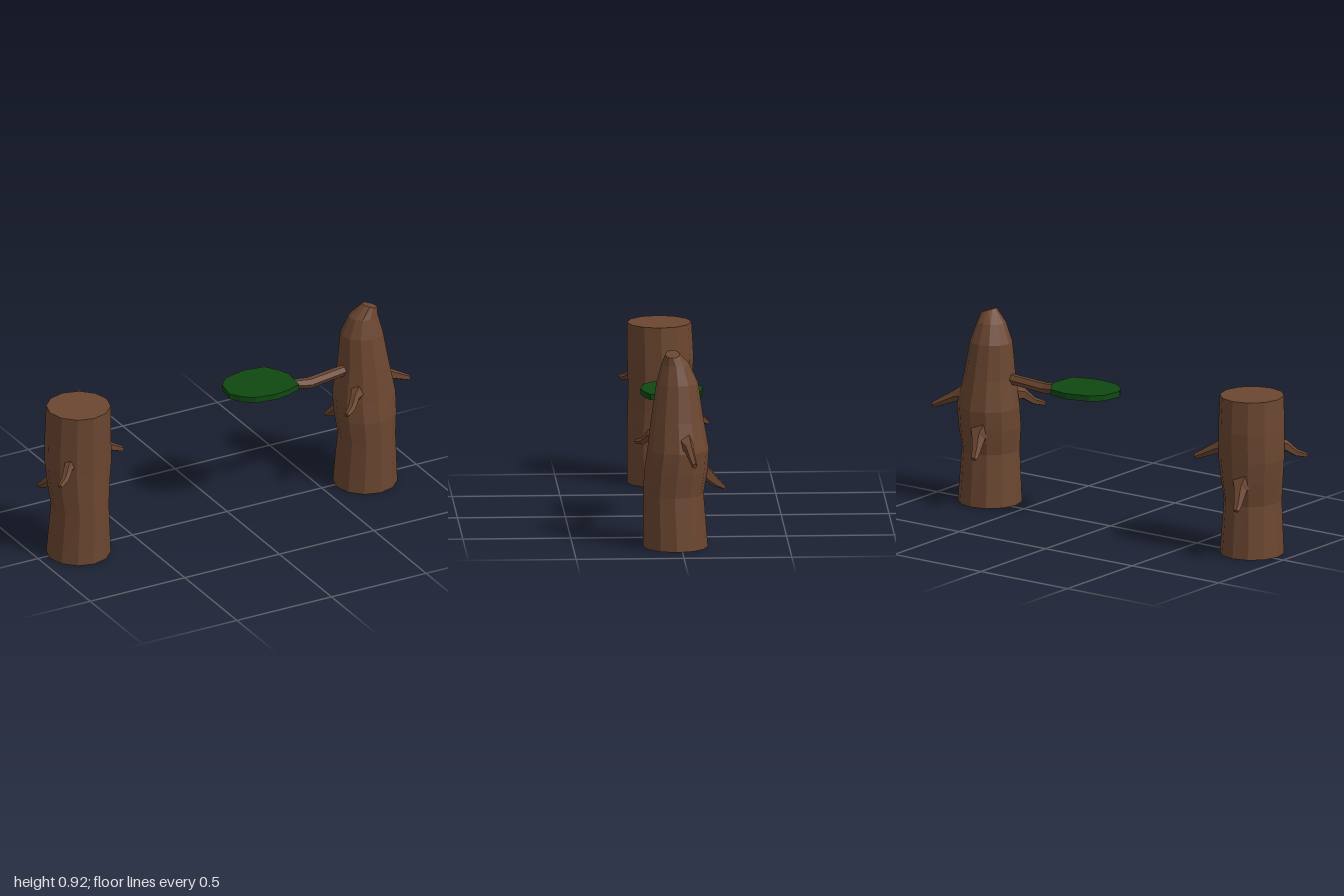
import * as THREE from 'three';

const V = (x, y, z) => new THREE.Vector3(x, y, z);

// Closed flat-faced solid through sections [x, y, z, radiusU, radiusV, tilt]
function loft(sections, sides, u, v) {
  const w = u.clone().cross(v);
  const rings = sections.map(([x, y, z, ru, rv = ru, tilt = 0]) => {
    const ring = [];
    for (let j = 0; j < sides; j++) {
      const a = (j / sides) * Math.PI * 2;
      ring.push(V(x, y, z)
        .addScaledVector(u, ru * Math.cos(a))
        .addScaledVector(v, rv * Math.sin(a))
        .addScaledVector(w, tilt * Math.cos(a)));
    }
    return ring;
  });
  const pos = [];
  const tri = (...pts) => pts.forEach((p) => pos.push(p.x, p.y, p.z));
  const first = rings[0], last = rings[rings.length - 1];
  for (let j = 0; j < sides; j++) {
    const k = (j + 1) % sides;
    for (let i = 0; i < rings.length - 1; i++) {
      tri(rings[i][j], rings[i][k], rings[i + 1][k]);
      tri(rings[i][j], rings[i + 1][k], rings[i + 1][j]);
    }
    if (j > 0 && j < sides - 1) {
      tri(first[0], first[k], first[j]);
      tri(last[0], last[j], last[k]);
    }
  }
  const g = new THREE.BufferGeometry();
  g.setAttribute('position', new THREE.Float32BufferAttribute(pos, 3));
  g.computeVertexNormals();
  return g;
}

// Branch whose rings face along its overall direction
function branch(sections, sides = 5) {
  const a = V(...sections[0]), b = V(...sections[sections.length - 1]);
  const w = b.sub(a).normalize();
  const u = V(0, 1, 0).cross(w).normalize();
  return loft(sections, sides, u, w.clone().cross(u));
}

export function createModel() {
  const model = new THREE.Group();
  model.name = 'treeStumps';
  const bark = new THREE.MeshStandardMaterial({ color: 0x6b4630 });
  bark.name = 'bark brown';
  const green = new THREE.MeshStandardMaterial({ color: 0x104912 });
  green.name = 'leaf green';

  const add = (parent, name, geometry, material = bark) => {
    const mesh = new THREE.Mesh(geometry, material);
    mesh.name = name;
    parent.add(mesh);
  };

  // Lower trunk sections shared by both trees
  const base = [
    [0, 0, 0.025, 0.15, 0.15],
    [0.002, 0.25, 0.035, 0.133, 0.14],
    [0, 0.36, 0.024, 0.145, 0.147],
  ];
  const stumpTop = [
    [0, 0.46, 0.02, 0.156, 0.15],
    [0, 0.6, 0.02, 0.154, 0.154],
    [0, 0.755, 0.025, 0.15, 0.15],
  ];
  const tallTop = [
    [0, 0.46, 0.013, 0.148, 0.143],
    [-0.005, 0.6, 0.017, 0.122, 0.122],
    [-0.014, 0.77, 0.017, 0.1, 0.097],
    [-0.01, 0.86, 0.025, 0.069, 0.065],
    [0.016, 0.91, 0.04, 0.036, 0.034, -0.012],
  ];

  // Trunk with its three short broken twigs
  const makeTree = (name, x, top) => {
    const tree = new THREE.Group();
    tree.name = name;
    tree.position.x = x;
    add(tree, 'trunk', loft([...base, ...top], 12, V(1, 0, 0), V(0, 0, -1)));
    add(tree, 'leftTwig', branch([
      [0.08, 0.51, -0.01, 0.05, 0.06],
      [0.155, 0.49, -0.03, 0.022, 0.027],
      [0.272, 0.432, -0.05, 0.013, 0.014],
    ]));
    add(tree, 'rightTwig', branch([
      [-0.06, 0.51, 0.08, 0.045, 0.05],
      [-0.115, 0.505, 0.135, 0.022, 0.027],
      [-0.15, 0.47, 0.167, 0.018, 0.018],
      [-0.192, 0.458, 0.198, 0.012, 0.011],
    ]));
    add(tree, 'backTwig', branch([
      [-0.03, 0.38, -0.06, 0.075, 0.07],
      [-0.04, 0.335, -0.12, 0.033, 0.035],
      [-0.065, 0.285, -0.17, 0.021, 0.022],
      [-0.08, 0.26, -0.205, 0.014, 0.011],
    ]));
    model.add(tree);
    return tree;
  };

  makeTree('cutStump', -0.8, stumpTop);
  const tall = makeTree('brokenTree', 0.715, tallTop);

  // Long bough carrying the leaf pad
  add(tall, 'bough', branch([
    [-0.05, 0.605, 0.03, 0.03, 0.032],
    [-0.13, 0.6, 0.032, 0.024, 0.026],
    [-0.305, 0.586, 0.043, 0.026, 0.027],
    [-0.4, 0.597, 0.032, 0.021, 0.022],
    [-0.5, 0.6, 0.03, 0.018, 0.018],
    [-0.65, 0.6, 0.035, 0.014, 0.015],
  ], 6));

  // Flat leaf pad: outline in x and z, extruded upward
  const outline = [
    [-0.017, 0.05], [0, -0.05], [0.045, -0.1], [0.16, -0.13], [0.26, -0.115], [0.3, -0.055],
    [0.323, 0], [0.312, 0.122], [0.24, 0.15], [0.17, 0.16], [0.07, 0.145], [0.015, 0.1],
  ];
  const shape = new THREE.Shape(outline.map(([x, z]) => new THREE.Vector2(x, -z)));
  const pad = new THREE.ExtrudeGeometry(shape, { depth: 0.027, bevelEnabled: false });
  pad.rotateX(-Math.PI / 2).translate(0, 0.61, 0);
  add(model, 'leafPad', pad, green);

  return model;
}
